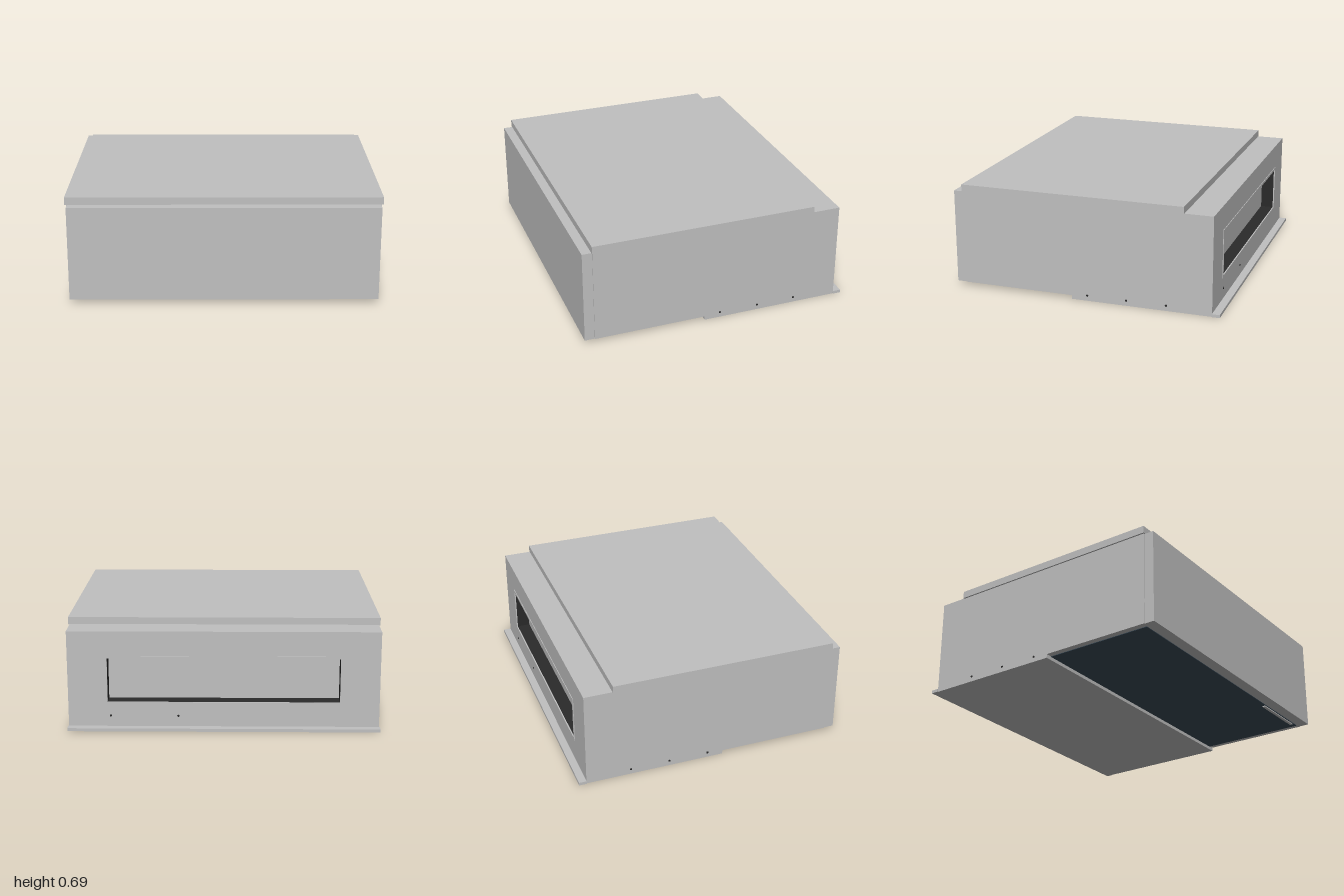
import * as THREE from 'three';

export function createModel() {
  const model = new THREE.Group();
  const material = (name, color) => {
    const m = new THREE.MeshStandardMaterial({ color });
    m.name = name;
    return m;
  };
  const steel = material('galvanised grey', 0xc0c0c0);
  const lining = material('duct lining black', 0x2a2a2a);
  const filter = material('filter blue black', 0x3a4a56);

  const add = (name, geometry, mat) => {
    const mesh = new THREE.Mesh(geometry, mat);
    mesh.name = name;
    model.add(mesh);
    return mesh;
  };
  // Box given by its minimum and maximum on each axis
  const box = (name, mat, [x0, x1], [y0, y1], [z0, z1]) => {
    const mesh = add(name, new THREE.BoxGeometry(x1 - x0, y1 - y0, z1 - z0), mat);
    mesh.position.set((x0 + x1) / 2, (y0 + y1) / 2, (z0 + z1) / 2);
    return mesh;
  };
  // Rectangular frame lying in the xy plane, extruded along +z
  const frame = (name, mat, [ox0, ox1, oy0, oy1], [ix0, ix1, iy0, iy1], z, depth) => {
    const shape = new THREE.Shape();
    shape.moveTo(ox0, oy0).lineTo(ox1, oy0).lineTo(ox1, oy1).lineTo(ox0, oy1).closePath();
    const hole = new THREE.Path();
    hole.moveTo(ix0, iy0).lineTo(ix0, iy1).lineTo(ix1, iy1).lineTo(ix1, iy0).closePath();
    shape.holes.push(hole);
    const geometry = new THREE.ExtrudeGeometry(shape, { depth, bevelEnabled: false });
    add(name, geometry, mat).position.z = z;
  };

  // Casing: the main box ends at the back of the duct recess
  box('casing', steel, [-0.99, 0.99], [0.025, 0.645], [-0.745, 0.82]);
  frame('rearWall', steel, [-0.99, 0.99, 0.02, 0.645], [-0.75, 0.75, 0.17, 0.48], -0.835, 0.09);

  // Duct opening: flange rim and dark lined walls around the recess
  frame('ductFlange', steel, [-0.755, 0.755, 0.165, 0.485], [-0.738, 0.738, 0.182, 0.468], -0.839, 0.008);
  frame('ductLining', lining, [-0.75, 0.75, 0.17, 0.48], [-0.738, 0.738, 0.182, 0.468], -0.831, 0.086);

  // Front cover, slightly narrower than the casing
  box('frontPanel', steel, [-0.985, 0.985], [0.025, 0.64], [0.82, 0.885]);

  // Raised lid, overhanging the sides
  box('lid', steel, [-1, 1], [0.642, 0.69], [-0.65, 0.825]);

  // Rear base tray with its lip behind the casing
  box('baseTray', steel, [-0.99, 0.99], [0, 0.025], [-0.835, 0.085]);
  box('rearLip', steel, [-0.995, 0.995], [0, 0.02], [-0.885, -0.835]);

  // Air filter under the front half, with its pull tab
  box('filter', filter, [-0.95, 0.95], [0.021, 0.028], [0.086, 0.81]);
  box('filterTab', steel, [0.5, 0.9], [0.014, 0.025], [0.785, 0.805]);

  // Small screws along the sides and ports on the rear wall
  const disc = new THREE.CylinderGeometry(0.007, 0.007, 0.006, 10);
  for (const side of [-1, 1]) {
    for (const z of [-0.54, -0.28, -0.02]) {
      const screw = add('sideScrew', disc, lining);
      screw.rotation.z = Math.PI / 2;
      screw.position.set(side * 0.99, 0.035, z);
    }
  }
  for (const x of [0.72, 0.29]) {
    const port = add('drainPort', disc, lining);
    port.rotation.x = Math.PI / 2;
    port.position.set(x, 0.09, -0.835);
  }

  return model;
}
